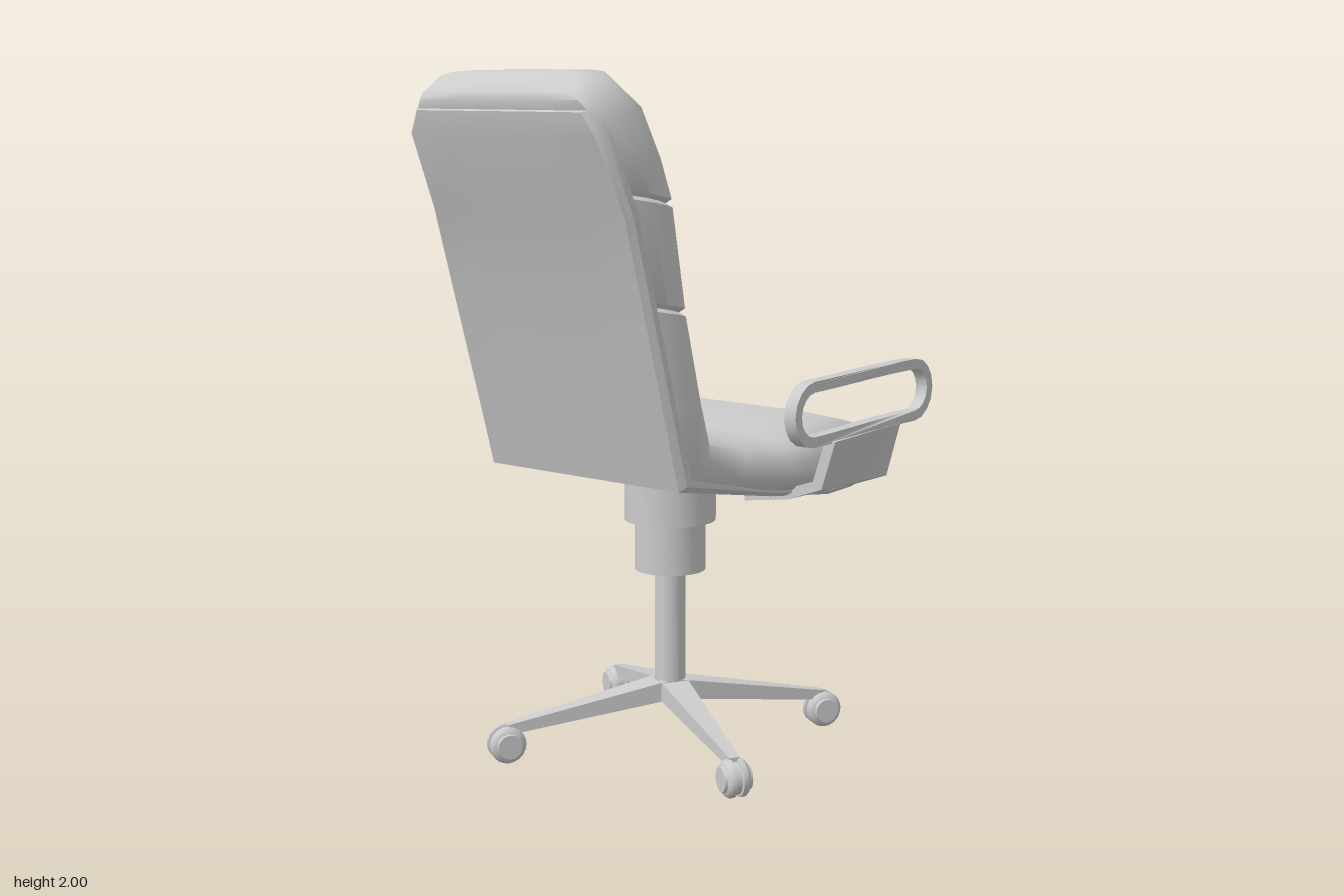
import * as THREE from 'three';
import { toCreasedNormals } from 'three/addons/utils/BufferGeometryUtils.js';

const material = new THREE.MeshStandardMaterial({ color: 0xcccccc });

function addMesh(parent, name, geometry, crease = 0.7) {
  const mesh = new THREE.Mesh(toCreasedNormals(geometry, crease), material);
  mesh.name = name;
  parent.add(mesh);
  return mesh;
}

// Lofts a section along stations [faceX, faceY, rearX, rearY, halfWidth].
// The half section lists [fraction of half width, rear 0 .. face 1].
function loft(stations, half) {
  const ring = [...half, ...half.slice().reverse().map(([z, t]) => [-z, t])];
  const n = ring.length, m = stations.length;
  const pos = [], index = [];
  for (const [fx, fy, rx, ry, w] of stations)
    for (const [z, t] of ring) pos.push(rx + (fx - rx) * t, ry + (fy - ry) * t, z * w);
  for (let i = 0; i < m - 1; i++)
    for (let j = 0; j < n; j++) {
      const k = (j + 1) % n;
      const a = i * n + j, b = i * n + k, c = a + n, d = b + n;
      index.push(a, b, d, a, d, c);
    }
  // end caps
  for (const i of [0, m - 1]) {
    const [fx, fy, rx, ry] = stations[i];
    const centre = pos.length / 3;
    pos.push((fx + rx) / 2, (fy + ry) / 2, 0);
    for (let j = 0; j < n; j++) {
      const a = i * n + j, b = i * n + (j + 1) % n;
      if (i === 0) index.push(centre, b, a);
      else index.push(centre, a, b);
    }
  }
  const g = new THREE.BufferGeometry();
  g.setAttribute('position', new THREE.Float32BufferAttribute(pos, 3));
  g.setIndex(index);
  return g;
}

// A narrow stitched groove across the backrest
function seam([fx, fy, rx, ry, w]) {
  const inset = 0.014, dx = -0.002, dy = 0.011;
  return [
    [fx - dx, fy - dy, rx - dx, ry - dy, w],
    [fx - inset, fy, rx, ry, w - inset],
    [fx + dx, fy + dy, rx + dx, ry + dy, w],
  ];
}

// Sideways position of the armrest: wider apart at the rear
const armZ = x => 0.55 - 0.045 * THREE.MathUtils.smoothstep(x, -0.1, 0.5);

function moveVertices(g, rule) {
  const p = g.attributes.position, v = new THREE.Vector3();
  for (let i = 0; i < p.count; i++) {
    rule(v.fromBufferAttribute(p, i));
    p.setXYZ(i, v.x, v.y, v.z);
  }
  return g;
}

// Rounded slot outline, with points along the straights so it can bend
function slot(x0, x1, y, r) {
  const pts = [], a = x0 + r, b = x1 - r;
  for (let i = 0; i <= 8; i++) {
    const t = -Math.PI / 2 + Math.PI * i / 8;
    pts.push(new THREE.Vector2(b + r * Math.cos(t), y + r * Math.sin(t)));
  }
  for (let i = 1; i < 8; i++) pts.push(new THREE.Vector2(b + (a - b) * i / 8, y + r));
  for (let i = 0; i <= 8; i++) {
    const t = Math.PI / 2 + Math.PI * i / 8;
    pts.push(new THREE.Vector2(a + r * Math.cos(t), y + r * Math.sin(t)));
  }
  for (let i = 1; i < 8; i++) pts.push(new THREE.Vector2(a + (b - a) * i / 8, y - r));
  return pts;
}

function createArm(side) {
  const arm = new THREE.Group();
  arm.name = side > 0 ? 'leftArm' : 'rightArm';

  // looped armrest
  const shape = new THREE.Shape(slot(-0.12, 0.635, 1.067, 0.092));
  shape.holes.push(new THREE.Path(slot(-0.09, 0.605, 1.067, 0.062)));
  const loop = new THREE.ExtrudeGeometry(shape, { depth: 0.038, bevelEnabled: false });
  moveVertices(loop, v => { v.z += side * armZ(v.x) - 0.019; });
  addMesh(arm, 'armrestLoop', loop);

  // folded plate joining the armrest to the seat
  const section = [[0.565, 0.98], [0.52, 0.83], [0.40, 0.787], [0.25, 0.765],
    [0.25, 0.79], [0.39, 0.815], [0.49, 0.85], [0.53, 0.98]];
  const plate = new THREE.ExtrudeGeometry(
    new THREE.Shape(section.map(([z, y]) => new THREE.Vector2(-side * z, y))),
    { depth: 0.38, steps: 4, bevelEnabled: false });
  plate.rotateY(Math.PI / 2).translate(0.065, 0, 0);
  moveVertices(plate, v => {
    v.z += side * (armZ(v.x) - 0.535);
    if (v.y < 0.9) v.y += (0.25 - v.x) * 0.05;
  });
  addMesh(arm, 'armBracket', plate, 0.4);
  return arm;
}

function createBase() {
  const base = new THREE.Group();
  base.name = 'base';
  base.position.x = 0.04;

  // gas column with stepped housing
  const column = [[0, 0.15], [0.046, 0.15], [0.046, 0.54], [0.105, 0.54], [0.105, 0.69],
    [0.135, 0.69], [0.135, 0.82], [0, 0.82]].map(p => new THREE.Vector2(...p));
  addMesh(base, 'column', new THREE.LatheGeometry(column, 32));

  const halfWheel = [[0, 0.042], [0.036, 0.042], [0.038, 0.034], [0.047, 0.031],
    [0.054, 0.022], [0.054, 0.009], [0.046, 0.007]];
  const wheel = [...halfWheel.map(([r, y]) => [r, -y]), ...halfWheel.slice().reverse()]
    .map(p => new THREE.Vector2(...p));

  // four tapering legs with casters
  [0.51, 0.5, 0.475, 0.51].forEach((length, i) => {
    const spoke = new THREE.Group();
    spoke.name = 'spoke' + (i + 1);
    spoke.rotation.y = (-120 + 90 * i) * Math.PI / 180;
    const leg = moveVertices(new THREE.BoxGeometry(1, 1, 1), v => {
      const t = v.x + 0.5;
      v.x = t * length;
      v.z *= THREE.MathUtils.lerp(0.09, 0.03, t);
      v.y = v.y > 0 ? THREE.MathUtils.lerp(0.21, 0.115, t) : THREE.MathUtils.lerp(0.15, 0.085, t);
    });
    addMesh(spoke, 'leg', leg, 0.4);
    const caster = new THREE.LatheGeometry(wheel, 20).rotateX(Math.PI / 2);
    addMesh(spoke, 'caster', caster).position.set(length, 0.056, 0);
    base.add(spoke);
  });
  return base;
}

export function createModel() {
  const chair = new THREE.Group();
  chair.name = 'officeChair';

  // one padded cushion running from the seat front to the headrest
  const cushion = [
    [0.668, 0.88, 0.66, 0.835, 0.255],
    [0.62, 0.935, 0.63, 0.79, 0.33],
    [0.44, 0.975, 0.44, 0.80, 0.44],
    [0.25, 1.02, 0.25, 0.81, 0.487],
    [0.03, 0.98, 0.0, 0.835, 0.46],
    [-0.10, 0.99, -0.17, 0.86, 0.415],
    [-0.215, 1.015, -0.32, 0.895, 0.387],
    [-0.245, 1.12, -0.385, 1.09, 0.385],
    ...seam([-0.306, 1.355, -0.465, 1.385, 0.385]),
    ...seam([-0.355, 1.645, -0.545, 1.68, 0.385]),
    [-0.395, 1.77, -0.59, 1.77, 0.38],
    [-0.44, 1.91, -0.65, 1.87, 0.355],
    [-0.53, 1.997, -0.672, 1.92, 0.31],
    [-0.61, 1.995, -0.665, 1.94, 0.265],
  ];
  addMesh(chair, 'cushion', loft(cushion,
    [[0.5, 0], [0.92, 0], [0.99, 0.22], [1, 0.5], [0.95, 0.78], [0.83, 0.94], [0.62, 1], [0.3, 1]]), 0.8);

  // thin shell under the seat and behind the back
  const shell = [
    [0.645, 0.80, 0.63, 0.767, 0.27],
    [0.44, 0.81, 0.44, 0.773, 0.39],
    [0.25, 0.82, 0.25, 0.785, 0.44],
    [0.0, 0.845, 0.0, 0.815, 0.42],
    [-0.31, 0.91, -0.345, 0.872, 0.365],
    [-0.45, 1.355, -0.482, 1.345, 0.365],
    [-0.53, 1.63, -0.565, 1.62, 0.365],
    [-0.62, 1.84, -0.66, 1.825, 0.35],
    [-0.64, 1.90, -0.675, 1.89, 0.31],
  ];
  addMesh(chair, 'shell', loft(shell, [[0.45, 0], [0.95, 0], [1, 0.4], [1, 1], [0.45, 1]]), 0.5);

  chair.add(createArm(1), createArm(-1), createBase());
  return chair;
}
